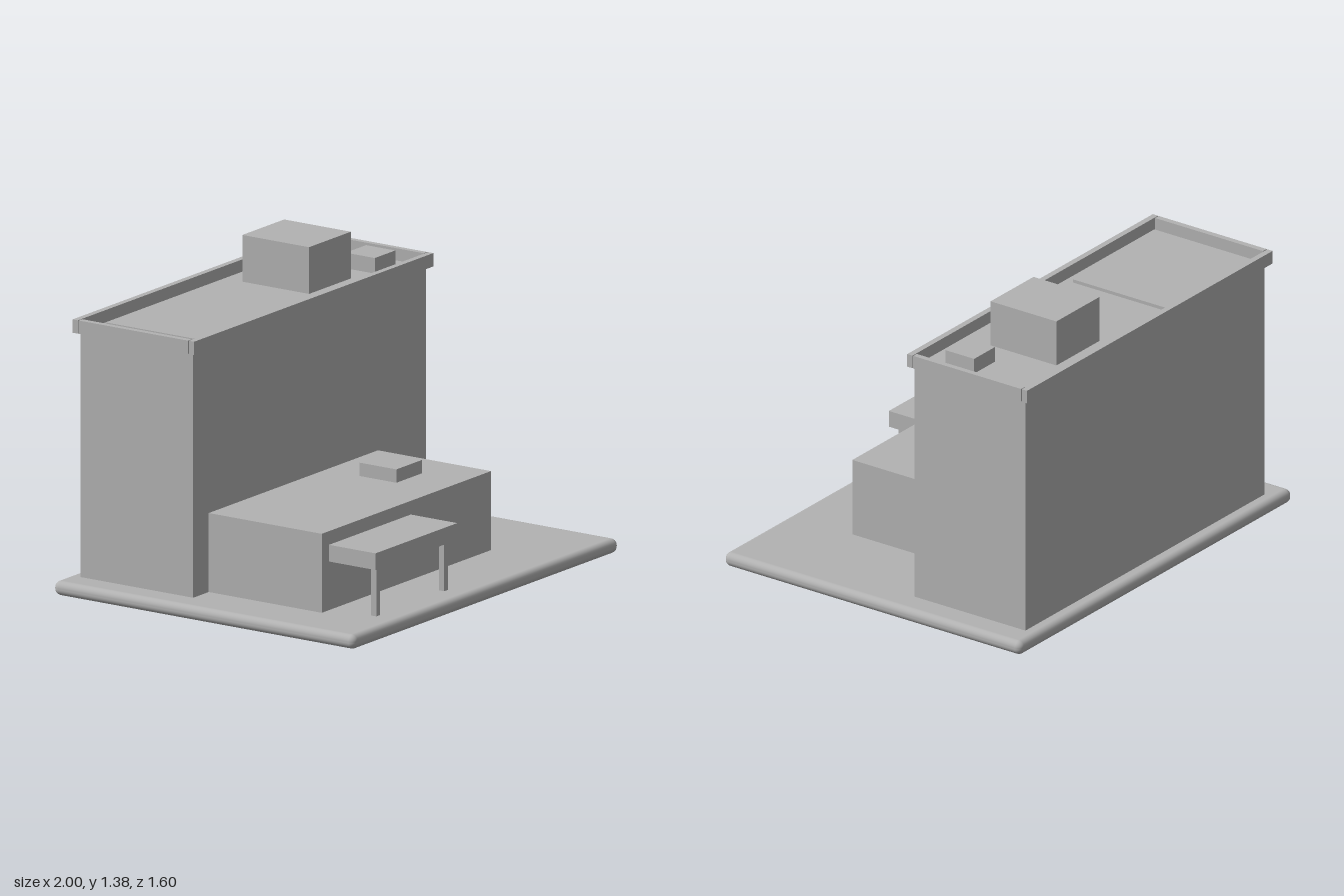
import * as THREE from 'three';
import { RoundedBoxGeometry } from 'three/addons/geometries/RoundedBoxGeometry.js';

export function createModel() {
  const model = new THREE.Group();
  model.name = 'building';
  const grey = new THREE.MeshStandardMaterial({ color: 0xb2b2b2 });
  grey.name = 'plain grey';

  // Adds a box given its extents along each axis
  function box(name, [x0, x1], [y0, y1], [z0, z1], radius = 0) {
    const size = [x1 - x0, y1 - y0, z1 - z0];
    const geometry = radius
      ? new RoundedBoxGeometry(...size, 4, radius)
      : new THREE.BoxGeometry(...size);
    const mesh = new THREE.Mesh(geometry, grey);
    mesh.name = name;
    mesh.position.set((x0 + x1) / 2, (y0 + y1) / 2, (z0 + z1) / 2);
    model.add(mesh);
  }

  const ground = 0.065, roof = 1.17;

  // Base slab with rounded edges
  box('baseSlab', [-1, 1], [0, ground], [-0.8, 0.8], 0.03);

  // Main masses
  box('tower', [-0.877, 0.877], [ground, roof], [-0.737, -0.14]);
  box('podium', [-0.76, 0.515], [ground, 0.42], [-0.14, 0.46]);

  // Parapet around the tower roof
  const rim = [1.165, 1.225];
  box('frontParapet', [-0.903, 0.899], rim, [-0.145, -0.117]);
  box('backParapet', [-0.903, 0.899], rim, [-0.762, -0.734]);
  box('rightParapet', [-0.903, -0.876], rim, [-0.73, -0.149]);
  box('leftParapet', [0.873, 0.899], rim, [-0.73, -0.149]);

  // Rooftop fittings
  box('roofPanel', [-0.74, -0.222], [roof, 1.185], [-0.7, -0.186]);
  box('plantRoom', [0.2, 0.515], [roof, 1.38], [-0.638, -0.284]);
  box('roofHatch', [0.64, 0.794], [roof, 1.24], [-0.4, -0.245]);
  box('podiumVent', [0.12, 0.314], [0.42, 0.48], [0.04, 0.236]);

  // Entrance canopy on two posts
  box('canopy', [-0.71, -0.094], [0.285, 0.36], [0.463, 0.71]);
  for (const x of [-0.659, -0.147]) {
    box('canopyPost', [x - 0.014, x + 0.014], [ground, 0.285], [0.66, 0.688]);
  }

  return model;
}
